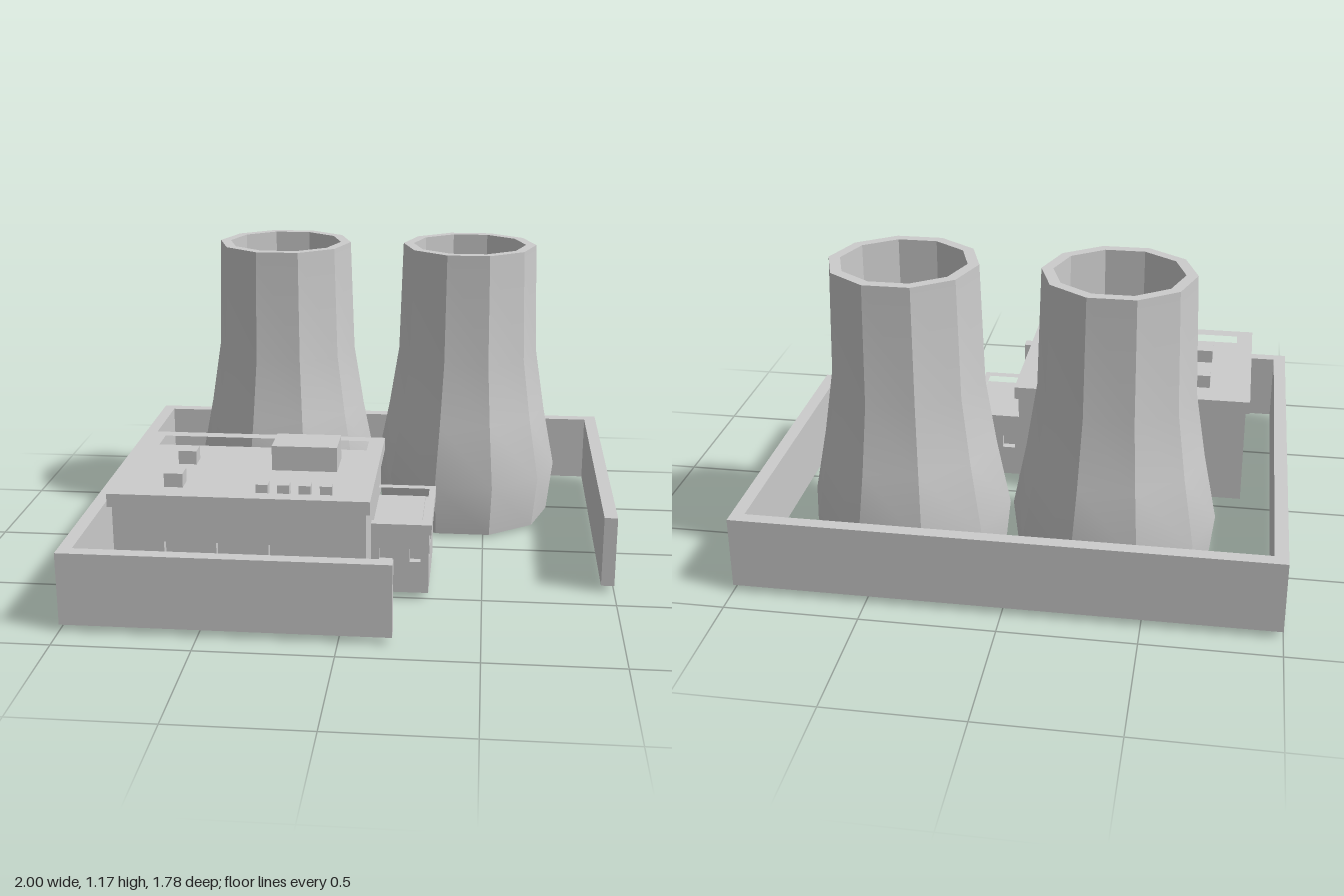
import * as THREE from 'three';
import { toCreasedNormals } from 'three/addons/utils/BufferGeometryUtils.js';

const material = new THREE.MeshStandardMaterial({ color: 0xcccccc });
const BASE = 0.025;   // underside of walls and buildings
const RECESS = 0.03;  // depth of windows and doors

function add(parent, name, geometry) {
  const mesh = new THREE.Mesh(geometry, material);
  mesh.name = name;
  parent.add(mesh);
  return mesh;
}

function box(parent, name, x0, x1, y0, y1, z0, z1) {
  const g = new THREE.BoxGeometry(x1 - x0, y1 - y0, z1 - z0);
  g.translate((x0 + x1) / 2, (y0 + y1) / 2, (z0 + z1) / 2);
  return add(parent, name, g);
}

const toShape = (pts) => new THREE.Shape(pts.map(([x, y]) => new THREE.Vector2(x, y)));
const rect = (x0, x1, y0, y1) => [[x0, y0], [x1, y0], [x1, y1], [x0, y1]];

// Extrude a plan given as [x, z] points upwards from y0 to y1
function plan(parent, name, outline, hole, y0, y1) {
  const flip = (pts) => pts.map(([x, z]) => [x, -z]);
  const shape = toShape(flip(outline));
  if (hole) shape.holes.push(toShape(flip(hole)));
  const g = new THREE.ExtrudeGeometry(shape, { depth: y1 - y0, bevelEnabled: false });
  g.rotateX(-Math.PI / 2).translate(0, y0, 0);
  return add(parent, name, g);
}

// Facade panel with window holes and optional door notch; u runs to the right as seen from outside
function facade(parent, name, u0, u1, top, face, turn, windows, door) {
  const outline = [[u0, BASE]];
  if (door) {
    outline.push([door[0], BASE], [door[0], door[2]], [door[1], door[2]], [door[1], BASE]);
  }
  outline.push([u1, BASE], [u1, top], [u0, top]);
  const shape = toShape(outline);
  for (const [u, v, w, h] of windows) {
    shape.holes.push(toShape(rect(u - w / 2, u + w / 2, v - h / 2, v + h / 2)));
  }
  const g = new THREE.ExtrudeGeometry(shape, { depth: RECESS, bevelEnabled: false });
  g.translate(0, 0, face - RECESS).rotateY(turn);
  add(parent, name, g);
}

// Building: inner core, four facades and a parapet around a sunken roof
function building(name, b, roof) {
  const group = new THREE.Group();
  group.name = name;
  const { x0, x1, z0, z1, top } = b;
  box(group, 'core', x0 + RECESS, x1 - RECESS, BASE, roof.floor, z0 + RECESS, z1 - RECESS);
  facade(group, 'frontFacade', x0, x1, top, z1, 0, b.front);
  facade(group, 'backFacade', -x1, -x0, top, -z0, Math.PI, b.front.map(([u, ...r]) => [-u, ...r]));
  facade(group, 'rightFacade', -z1, -z0, top, x1, Math.PI / 2, b.side, b.door);
  facade(group, 'leftFacade', z0, z1, top, -x0, -Math.PI / 2, []);
  plan(group, 'parapet', rect(...roof.outer), rect(...roof.inner), top, roof.top);
  return group;
}

// Ten-sided hollow cooling tower
function coolingTower(x, z) {
  const profile = [
    [0, 0], [0.357, 0.01], [0.38, 0.22], [0.33, 0.47], [0.29, 0.72], [0.275, 1.17],
    [0.233, 1.17], [0.233, 0.7], [0, 0.7],
  ].map(([r, y]) => new THREE.Vector2(r, y));
  const g = toCreasedNormals(new THREE.LatheGeometry(profile, 10, Math.PI / 2), 0.5);
  const mesh = new THREE.Mesh(g, material);
  mesh.name = 'coolingTower';
  mesh.position.set(x, 0, z);
  return mesh;
}

export function createModel() {
  const model = new THREE.Group();
  model.name = 'powerPlant';

  // Perimeter wall, open at the front right corner
  const Z = 0.89, T = 0.05;
  plan(model, 'perimeterWall', [
    [0.19, Z], [-1, Z], [-1, -Z], [1, -Z], [1, 0.38], [1 - T, 0.38],
    [1 - T, -Z + T], [-1 + T, -Z + T], [-1 + T, Z - T], [0.19, Z - T],
  ], null, BASE, 0.3);

  // Cooling towers
  for (const x of [-0.357, 0.415]) model.add(coolingTower(x, -0.465));

  // Main hall
  const hall = building('mainHall', {
    x0: -0.83, x1: 0.085, z0: 0.03, z1: 0.725, top: 0.42,
    front: [-0.6, -0.41, -0.22].map((x) => [x, 0.245, 0.09, 0.09]),
    side: [],
    door: [-0.675, -0.585, 0.13],
  }, { floor: 0.43, top: 0.47, outer: [-0.845, 0.1, 0.015, 0.737], inner: [-0.78, 0.04, 0.065, 0.68] });
  model.add(hall);

  // Rooftop units
  box(hall, 'largeRoofUnit', -0.31, -0.06, 0.43, 0.527, 0.17, 0.325);
  for (const z of [0.25, 0.507]) box(hall, 'roofUnit', -0.68, -0.61, 0.43, 0.483, z - 0.035, z + 0.035);
  for (let i = 0; i < 4; i++) {
    const x = -0.305 + i * 0.078;
    box(hall, 'smallRoofVent', x - 0.022, x + 0.022, 0.43, 0.474, 0.563, 0.607);
  }

  // Side annex
  model.add(building('annex', {
    x0: 0.06, x1: 0.3, z0: 0.105, z1: 0.505, top: 0.26,
    front: [0.14, 0.255].map((x) => [x, 0.175, 0.052, 0.052]),
    side: [0.45, 0.305, 0.16].map((z) => [-z, 0.175, 0.052, 0.052]),
  }, { floor: 0.272, top: 0.3, outer: [0.06, 0.31, 0.093, 0.513], inner: [0.08, 0.285, 0.127, 0.477] }));

  return model;
}
